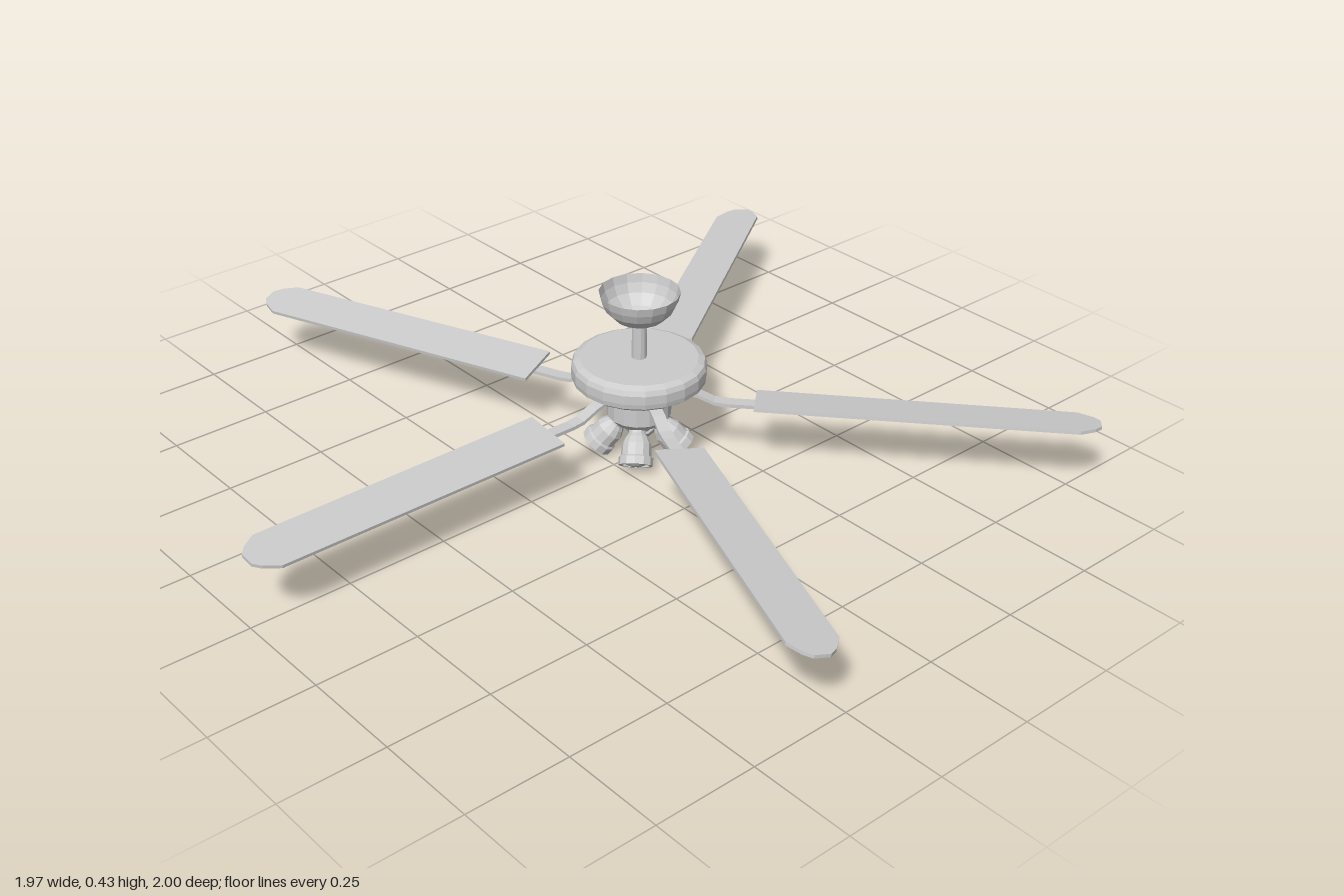
import * as THREE from 'three';

const material = new THREE.MeshStandardMaterial({ color: 0xcccccc, flatShading: true, side: THREE.DoubleSide });
const rad = THREE.MathUtils.degToRad;

function part(name, geometry, parent) {
  const mesh = new THREE.Mesh(geometry, material);
  mesh.name = name;
  parent.add(mesh);
  return mesh;
}

// Lathe from [radius, y] pairs listed bottom to top
function lathe(points, sides = 16) {
  return new THREE.LatheGeometry(points.map(([r, y]) => new THREE.Vector2(r, y)), sides);
}

function polygon(points) {
  return new THREE.Shape(points.map(([x, y]) => new THREE.Vector2(x, y)));
}

// Flat slab lying in the xz plane, centred on y = 0
function slab(shape, thickness) {
  const geometry = new THREE.ExtrudeGeometry(shape, { depth: thickness, bevelEnabled: false, curveSegments: 8 });
  geometry.translate(0, 0, -thickness / 2);
  return geometry.rotateX(Math.PI / 2);
}

function createBlade() {
  const blade = new THREE.Group();
  blade.name = 'bladeAssembly';

  // Pitched blade with a chamfered tip, and its mounting plate below
  const pitched = new THREE.Group();
  pitched.name = 'pitchedBlade';
  pitched.position.y = 0.168;
  pitched.rotation.x = rad(-8);
  blade.add(pitched);
  const outline = polygon([
    [0.275, -0.06], [1.02, -0.058], [1.055, -0.036], [1.07, -0.018],
    [1.07, 0.018], [1.055, 0.036], [1.02, 0.058], [0.275, 0.06],
  ]);
  part('blade', slab(outline, 0.008), pitched);
  const plate = new THREE.Shape().absellipse(0.335, 0, 0.06, 0.038, 0, Math.PI * 2);
  part('mountingPlate', slab(plate, 0.006), pitched).position.y = -0.007;

  // Bent arm running from the hub down to the blade
  const top = [[0.03, 0.19], [0.11, 0.19], [0.14, 0.182], [0.18, 0.165], [0.21, 0.162], [0.32, 0.163]];
  const bottom = top.map(([x, y]) => [x, y - 0.009]).reverse();
  const arm = new THREE.ExtrudeGeometry(polygon([...top, ...bottom]), { depth: 0.03, bevelEnabled: false });
  part('bladeArm', arm.translate(0, 0, -0.015), blade);
  return blade;
}

function createSpotlight() {
  const light = new THREE.Group();
  light.name = 'spotlight';
  // Shade opens along -y from the socket at the origin
  part('shade', lathe([
    [0.034, -0.085], [0.034, -0.096], [0.041, -0.096], [0.041, -0.077], [0.036, -0.073],
    [0.035, -0.045], [0.027, -0.028], [0.02, -0.02], [0.02, 0.012], [0, 0.012],
  ], 12), light);
  part('bulb', new THREE.SphereGeometry(0.033, 12, 8).scale(1, 0.6, 1), light).position.y = -0.08;
  return light;
}

export function createModel() {
  const fan = new THREE.Group();
  fan.name = 'ceilingFan';
  const body = new THREE.Group();
  body.name = 'fanBody';
  body.position.set(0.08, 0, -0.003);
  fan.add(body);

  // Ceiling canopy, open at the top, and the rod
  part('canopy', lathe([
    [0, 0.357], [0.034, 0.357], [0.058, 0.37], [0.08, 0.393], [0.09, 0.415], [0.095, 0.436],
  ]), body);
  part('downRod', new THREE.CylinderGeometry(0.018, 0.018, 0.12, 12), body).position.y = 0.315;

  // Motor housing and neck
  part('motorHousing', lathe([
    [0, 0.193], [0.115, 0.193], [0.14, 0.2], [0.158, 0.213], [0.16, 0.225],
    [0.16, 0.247], [0.155, 0.259], [0.14, 0.266], [0, 0.266],
  ], 20), body);
  part('neck', new THREE.CylinderGeometry(0.035, 0.035, 0.035, 12), body).position.y = 0.177;

  // Light kit housing
  part('lightHousing', lathe([
    [0, 0.085], [0.04, 0.088], [0.062, 0.1], [0.077, 0.117], [0.077, 0.165], [0, 0.165],
  ]), body);

  // Four spotlights tilted outwards on the diagonals
  for (let i = 0; i < 4; i++) {
    const mount = new THREE.Group();
    mount.name = 'spotlightMount';
    mount.rotation.y = Math.PI / 4 + (i * Math.PI) / 2;
    const light = createSpotlight();
    light.position.set(0.04, 0.102, 0);
    light.rotation.z = rad(39);
    mount.add(light);
    body.add(mount);
  }

  // Five blades, unevenly spaced
  for (const angle of [180, 248.2, 326.6, 48.4, 111.8]) {
    const blade = createBlade();
    blade.rotation.y = -rad(angle);
    body.add(blade);
  }
  return fan;
}
